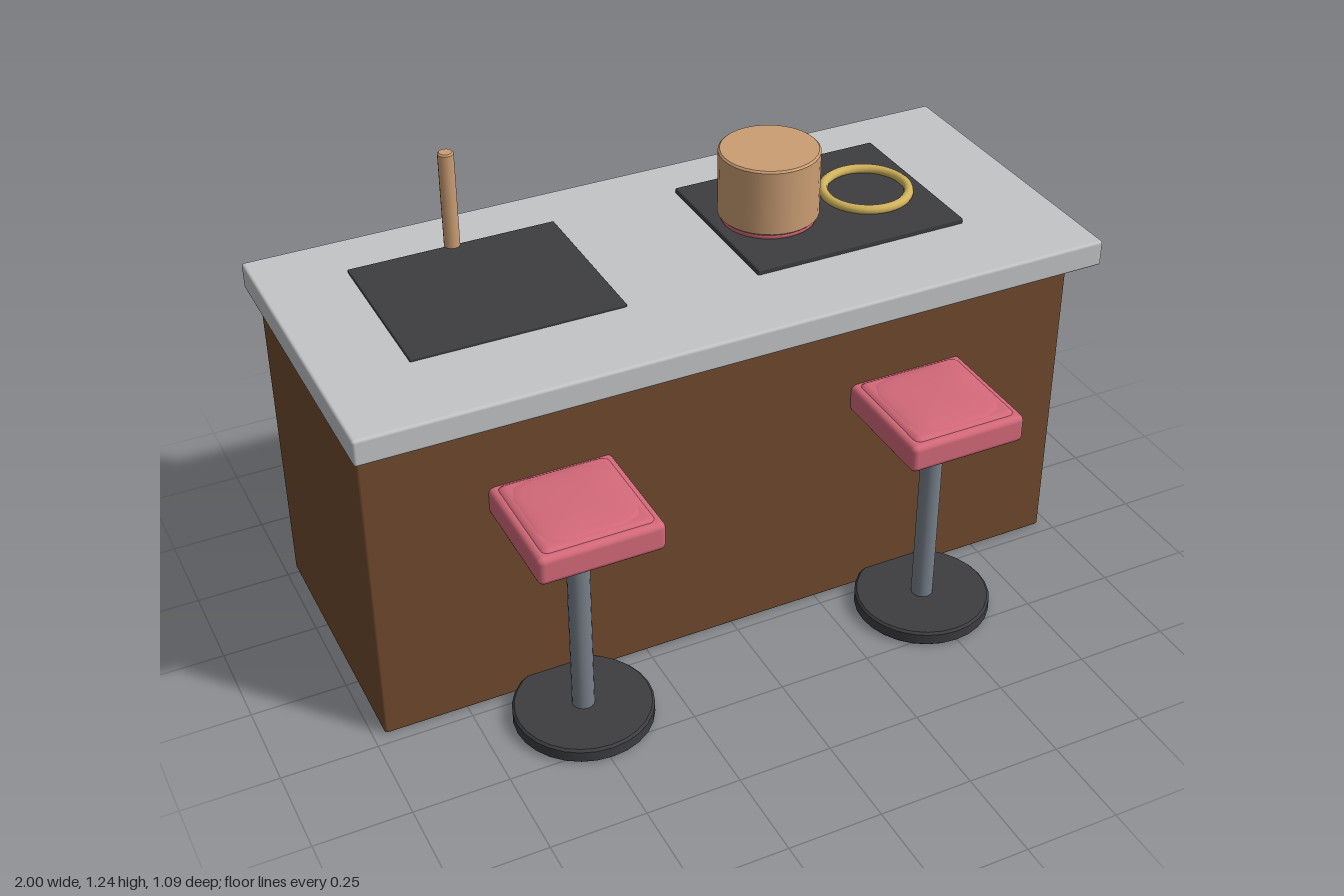
import * as THREE from 'three';
import { RoundedBoxGeometry } from 'three/addons/geometries/RoundedBoxGeometry.js';

function material(name, color) {
  const m = new THREE.MeshStandardMaterial({ color });
  m.name = name;
  return m;
}

export function createModel() {
  const group = new THREE.Group();
  const wood = material('brown wood', 0x6f4a2d);
  const stone = material('grey stone', 0xc2c4c6);
  const dark = material('dark metal', 0x3d3d41);
  const steel = material('steel', 0x77808a);
  const tan = material('tan', 0xcb9e74);
  const brass = material('yellow ring', 0xd2b45c);
  const pink = material('pink', 0xd4697a);

  const add = (name, geometry, mat, x, y, z, parent = group) => {
    const mesh = new THREE.Mesh(geometry, mat);
    mesh.name = name;
    mesh.position.set(x, y, z);
    parent.add(mesh);
    return mesh;
  };

  // Box given by its limits, with slightly softened edges
  const slab = (name, mat, [x0, x1], [y0, y1], [z0, z1], radius, parent) => add(
    name, new RoundedBoxGeometry(x1 - x0, y1 - y0, z1 - z0, 2, radius), mat,
    (x0 + x1) / 2, (y0 + y1) / 2, (z0 + z1) / 2, parent);

  // Upright round part with a small bevel at both rims
  const disc = (name, mat, r, y0, y1, x, z, bevel, sides, parent) => {
    const b = bevel;
    const h = y1 - y0;
    const side = [[r - b, 0], [r, b], [r, b], [r, h - b], [r, h - b], [r - b, h]];
    const profile = [[0, 0], [r - b, 0], ...side, [r - b, h], [0, h]]
      .map(([px, py]) => new THREE.Vector2(px, py));
    return add(name, new THREE.LatheGeometry(profile, sides), mat, x, y0, z, parent);
  };

  // Island
  slab('cabinet', wood, [-0.97, 0.97], [0, 0.9], [-0.525, 0.217], 0.008);
  slab('countertop', stone, [-1, 1], [0.895, 0.966], [-0.547, 0.317], 0.008);

  // Sink and tap
  slab('sink', dark, [-0.775, -0.22], [0.955, 0.974], [-0.385, 0.07], 0.003);
  disc('tap', tan, 0.021, 0.965, 1.237, -0.498, -0.385, 0.004, 12);

  // Cooktop with two burner rings
  slab('cooktop', dark, [0.133, 0.728], [0.955, 0.98], [-0.395, 0.08], 0.004);
  for (const [name, mat, x] of [['rightBurner', pink, 0.285], ['leftBurner', brass, 0.575]]) {
    const ring = add(name, new THREE.TorusGeometry(0.113, 0.013, 10, 40), mat, x, 0.987, -0.157);
    ring.rotation.x = Math.PI / 2;
  }

  // Pot
  disc('pot', tan, 0.132, 0.992, 1.175, 0.285, -0.157, 0.005, 32);

  // Stools
  for (const [name, x] of [['rightStool', -0.495], ['leftStool', 0.495]]) {
    const stool = new THREE.Group();
    stool.name = name;
    stool.position.set(x, 0, 0.365);
    group.add(stool);
    disc('base', dark, 0.18, 0, 0.041, 0, 0, 0.006, 28, stool);
    disc('post', steel, 0.029, 0.035, 0.59, 0, 0, 0.002, 16, stool);
    slab('seat', pink, [-0.162, 0.162], [0.582, 0.66], [-0.162, 0.162], 0.016, stool);

    // Padded top, domed towards the middle
    const pad = slab('cushion', pink, [-0.15, 0.15], [0.6, 0.668], [-0.15, 0.15], 0.025, stool);
    const dome = new THREE.SphereGeometry(1, 24, 6, 0, Math.PI * 2, 0, Math.PI / 2);
    const p = dome.attributes.position;
    for (let i = 0; i < p.count; i++) {
      const px = p.getX(i), pz = p.getZ(i);
      const k = Math.hypot(px, pz) / Math.max(Math.abs(px), Math.abs(pz), 1e-6);
      const s = 0.128 * Math.min(k, 1.25);
      p.setXYZ(i, px * s, p.getY(i) * 0.01, pz * s);
    }
    dome.computeVertexNormals();
    add('cushionDome', dome, pink, 0, 0.034 - 0.001, 0, pad);
  }
  return group;
}
